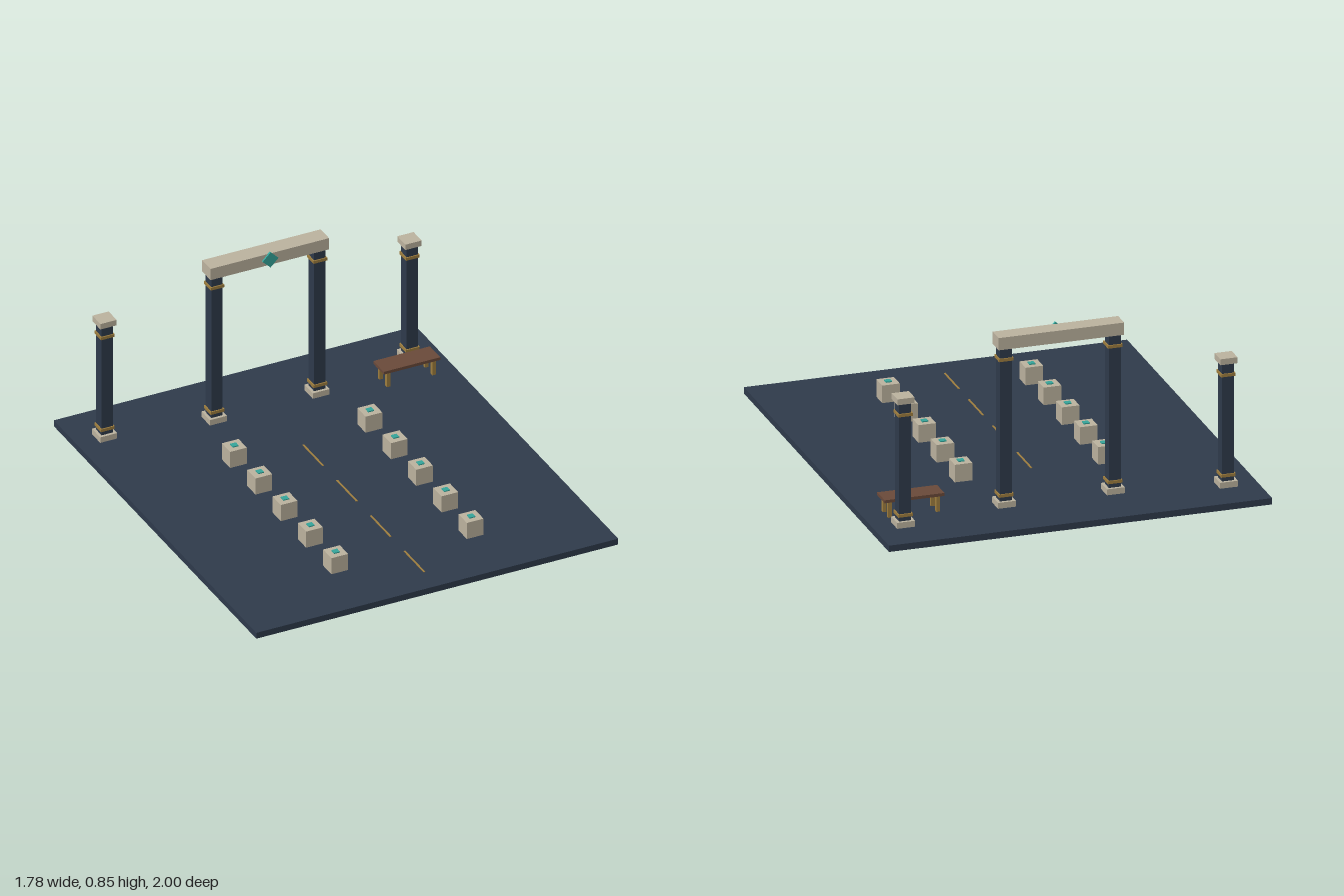
import * as THREE from 'three';

const paint = (color) => new THREE.MeshStandardMaterial({ color });

export function createModel() {
  const navy = paint(0x2f3b4c), stone = paint(0xbdb4a0), gold = paint(0xa07f3f);
  const teal = paint(0x35a79c), wood = paint(0x6b4a3a);
  const model = new THREE.Group();
  model.name = 'courtyard';
  const FLOOR = 0.03;

  // box resting with its underside at y
  function box(parent, name, mat, w, h, d, x, y, z) {
    const mesh = new THREE.Mesh(new THREE.BoxGeometry(w, h, d), mat);
    mesh.name = name;
    mesh.position.set(x, y + h / 2, z);
    parent.add(mesh);
    return mesh;
  }

  function group(name, x, y, z) {
    const g = new THREE.Group();
    g.name = name;
    g.position.set(x, y, z);
    model.add(g);
    return g;
  }

  // square column: plinth, shaft and two gold bands
  function pillar(name, x, z, top, upperBand) {
    const g = group(name, x, 0, z);
    box(g, 'plinth', stone, 0.083, 0.028, 0.083, 0, FLOOR, 0);
    box(g, 'shaft', navy, 0.056, top - FLOOR, 0.056, 0, FLOOR, 0);
    for (const y of [0.085, upperBand]) box(g, 'band', gold, 0.067, 0.014, 0.067, 0, y - 0.007, 0);
    return g;
  }

  box(model, 'floor', navy, 1.78, FLOOR, 2, 0, 0, 0);

  for (const side of [-1, 1]) {
    const label = side > 0 ? 'left' : 'right';

    // free-standing corner pillars
    const corner = pillar(label + 'CornerPillar', side * 0.75, -0.78, 0.614, 0.56);
    box(corner, 'capital', stone, 0.08, 0.028, 0.08, 0, 0.614, 0);

    // gateway uprights
    pillar(label + 'GatePillar', side * 0.253, -0.695, 0.78, 0.727);

    // row of stone blocks with inlays
    for (let i = 0; i < 5; i++) {
      const block = group(label + 'Block' + (i + 1), side * 0.333, FLOOR, -0.335 + i * 0.25);
      box(block, 'blockBody', stone, 0.082, 0.083, 0.082, 0, 0, 0);
      box(block, 'blockInlay', teal, 0.028, 0.006, 0.028, 0, 0.082, 0);
    }
  }

  // gateway beam and diamond ornament
  box(model, 'gateBeam', stone, 0.583, 0.058, 0.083, 0, 0.78, -0.695);
  const diamond = box(model, 'diamondOrnament', teal, 0.055, 0.055, 0.01, 0, 0.7815, -0.651);
  diamond.rotation.z = Math.PI / 4;

  // dashed centre line
  for (let i = 0; i < 4; i++) {
    box(model, 'floorDash', gold, 0.008, 0.004, 0.197, 0, FLOOR - 0.001, -0.225 + i / 3);
  }

  // bench
  const bench = group('bench', 0.667, 0, -0.64);
  box(bench, 'seat', wood, 0.278, 0.014, 0.103, 0, 0.104, 0);
  for (const x of [-0.112, 0.112]) {
    for (const z of [-0.036, 0.036]) box(bench, 'benchLeg', gold, 0.017, 0.075, 0.017, x, FLOOR, z);
  }

  return model;
}
